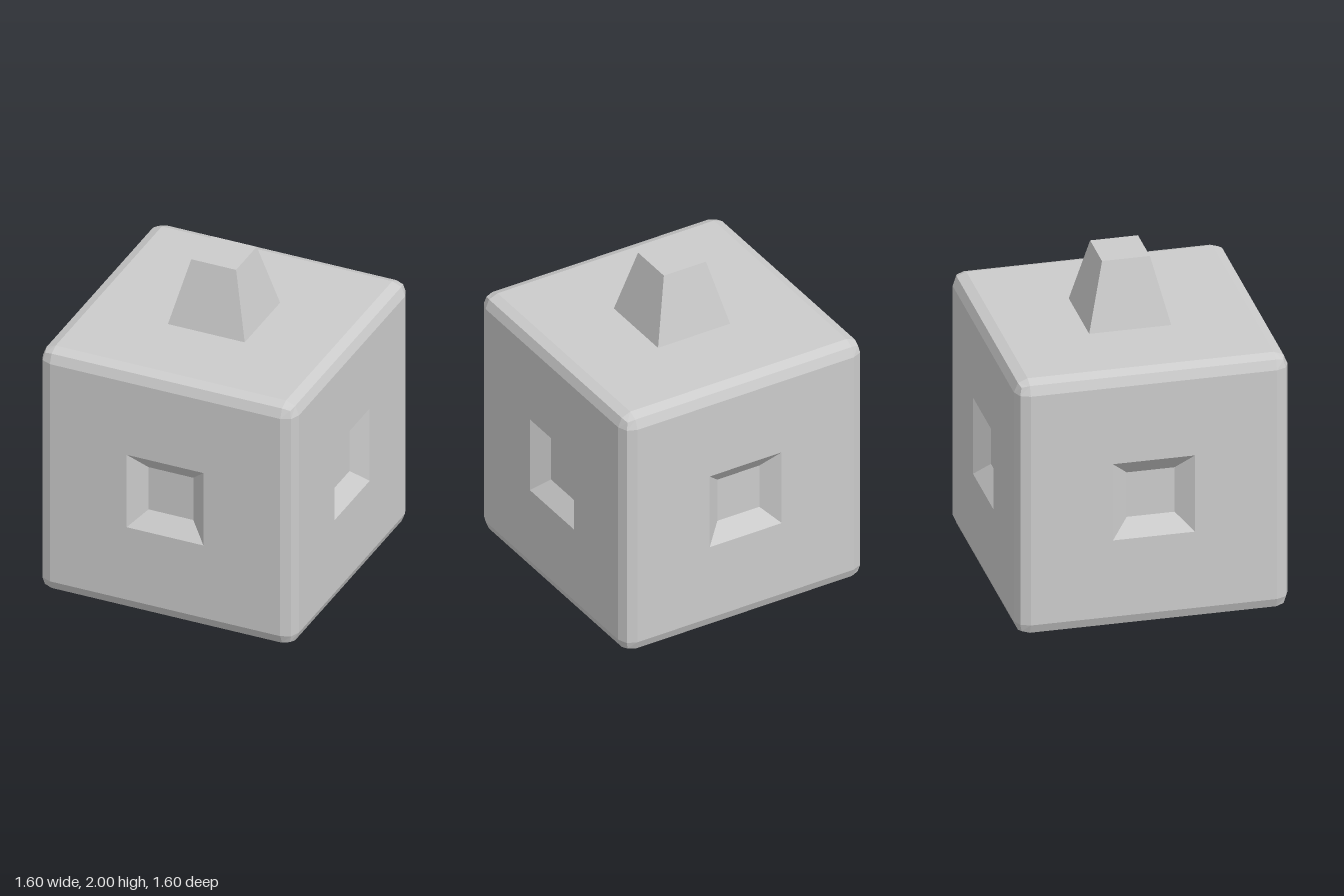
import * as THREE from 'three';
import { mergeGeometries } from 'three/addons/utils/BufferGeometryUtils.js';

const HALF = 0.8;     // half the cube's side
const BEVEL = 0.08;   // radius of the two-step rounded edges
const CORE = HALF - BEVEL;
const WIDE = 0.24;    // half width of peg and sockets at the face
const NARROW = 0.14;  // half width of peg tip and socket floor
const PEG_HEIGHT = 0.4;
const SOCKET_DEPTH = 0.08;

const material = new THREE.MeshStandardMaterial({ color: 0xcccccc, flatShading: true });

function faceted(geometry) {
  const flat = geometry.index ? geometry.toNonIndexed() : geometry;
  flat.computeVertexNormals();
  return flat;
}

function addMesh(parent, name, geometry) {
  const mesh = new THREE.Mesh(geometry, material);
  mesh.name = name;
  parent.add(mesh);
}

function squarePath(path, r) {
  return path.moveTo(-r, -r).lineTo(r, -r).lineTo(r, r).lineTo(-r, r).closePath();
}

// Flat middle of a face, with a square opening
function panelGeometry() {
  const shape = squarePath(new THREE.Shape(), CORE);
  shape.holes.push(squarePath(new THREE.Path(), WIDE));
  return faceted(new THREE.ShapeGeometry(shape).translate(0, 0, HALF));
}

// Half of each rounded edge and a third of each corner around one face
function rimGeometry() {
  const geometry = new THREE.PlaneGeometry(2, 2, 3, 3);
  const pos = geometry.attributes.position;
  const p = new THREE.Vector3();
  const core = new THREE.Vector3();
  const place = (t) => (Math.abs(t) > 0.9 ? HALF : CORE) * Math.sign(t);
  for (let i = 0; i < pos.count; i++) {
    p.set(place(pos.getX(i)), place(pos.getY(i)), HALF);
    core.copy(p).clampScalar(-CORE, CORE);
    p.sub(core).setLength(BEVEL).add(core);
    pos.setXYZ(i, p.x, p.y, p.z);
  }
  // Leave out the middle cell, which the panel fills
  geometry.setIndex(Array.from(geometry.index.array).filter((_, i) => i < 24 || i >= 30));
  return faceted(geometry);
}

// Square taper along z: rises as a peg, or sinks as a socket if height is negative
function taperGeometry(height) {
  const r = Math.SQRT2;
  const sides = new THREE.CylinderGeometry(NARROW * r, WIDE * r, height, 4, 1, true)
    .rotateY(Math.PI / 4)
    .rotateX(Math.PI / 2)
    .translate(0, 0, HALF + height / 2);
  const end = new THREE.PlaneGeometry(2 * NARROW, 2 * NARROW).translate(0, 0, HALF + height);
  return faceted(mergeGeometries([sides, end]));
}

export function createModel() {
  const model = new THREE.Group();
  model.name = 'pegCube';

  const panel = panelGeometry();
  const rim = rimGeometry();
  const socket = taperGeometry(-SOCKET_DEPTH);
  const peg = taperGeometry(PEG_HEIGHT);

  // Name and rotation about x and y of each face
  const faces = [
    ['front', 0, 0],
    ['left', 0, Math.PI / 2],
    ['back', 0, Math.PI],
    ['right', 0, -Math.PI / 2],
    ['top', -Math.PI / 2, 0],
    ['bottom', Math.PI / 2, 0],
  ];
  for (const [name, rx, ry] of faces) {
    const face = new THREE.Group();
    face.name = `${name}Face`;
    face.rotation.set(rx, ry, 0);
    face.position.y = HALF;
    addMesh(face, `${name}Panel`, panel);
    addMesh(face, `${name}RoundedRim`, rim);
    if (name === 'top') addMesh(face, 'peg', peg);
    else addMesh(face, `${name}Socket`, socket);
    model.add(face);
  }
  return model;
}
